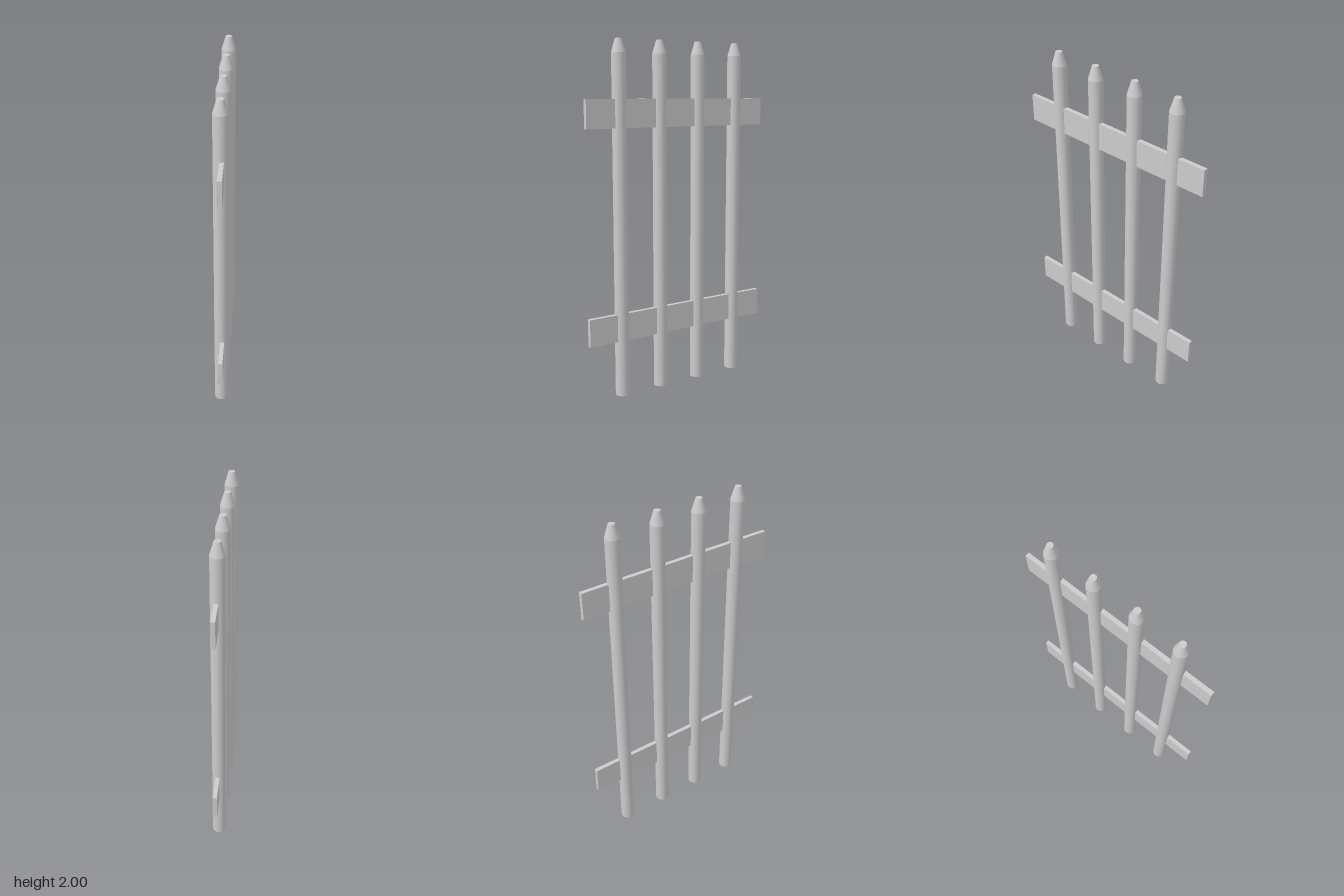
import * as THREE from 'three';

const POST_RADIUS = 0.04;
const TIP_RADIUS = 0.018;
const SHOULDER = 1.925; // height where the post starts to taper
const HEIGHT = 2;
const SIDES = 32;

export function createModel() {
  const fence = new THREE.Group();
  fence.name = 'fence';
  const material = new THREE.MeshStandardMaterial({ color: 0xcccccc });

  const add = (parent, name, geometry, x, y, z) => {
    const mesh = new THREE.Mesh(geometry, material);
    mesh.name = name;
    mesh.position.set(x, y, z);
    parent.add(mesh);
  };

  // Round posts: straight shaft with a blunt tapered tip
  const shaft = new THREE.CylinderGeometry(POST_RADIUS, POST_RADIUS, SHOULDER, SIDES);
  const tipHeight = HEIGHT - SHOULDER;
  const tip = new THREE.CylinderGeometry(TIP_RADIUS, POST_RADIUS, tipHeight, SIDES);
  [0.387, 0.126, -0.136, -0.402].forEach((z, i) => {
    const post = new THREE.Group();
    post.name = `post${i + 1}`;
    post.position.z = z;
    add(post, 'postShaft', shaft, 0, SHOULDER / 2, 0);
    add(post, 'postTip', tip, 0, SHOULDER + tipHeight / 2, 0);
    fence.add(post);
  });

  // Flat rails running through the posts, slightly off their centre line
  const rail = new THREE.BoxGeometry(0.025, 0.158, 1.196);
  add(fence, 'lowerRail', rail, 0.006, 0.4, 0);
  add(fence, 'upperRail', rail, 0.006, 1.6, 0);

  return fence;
}
